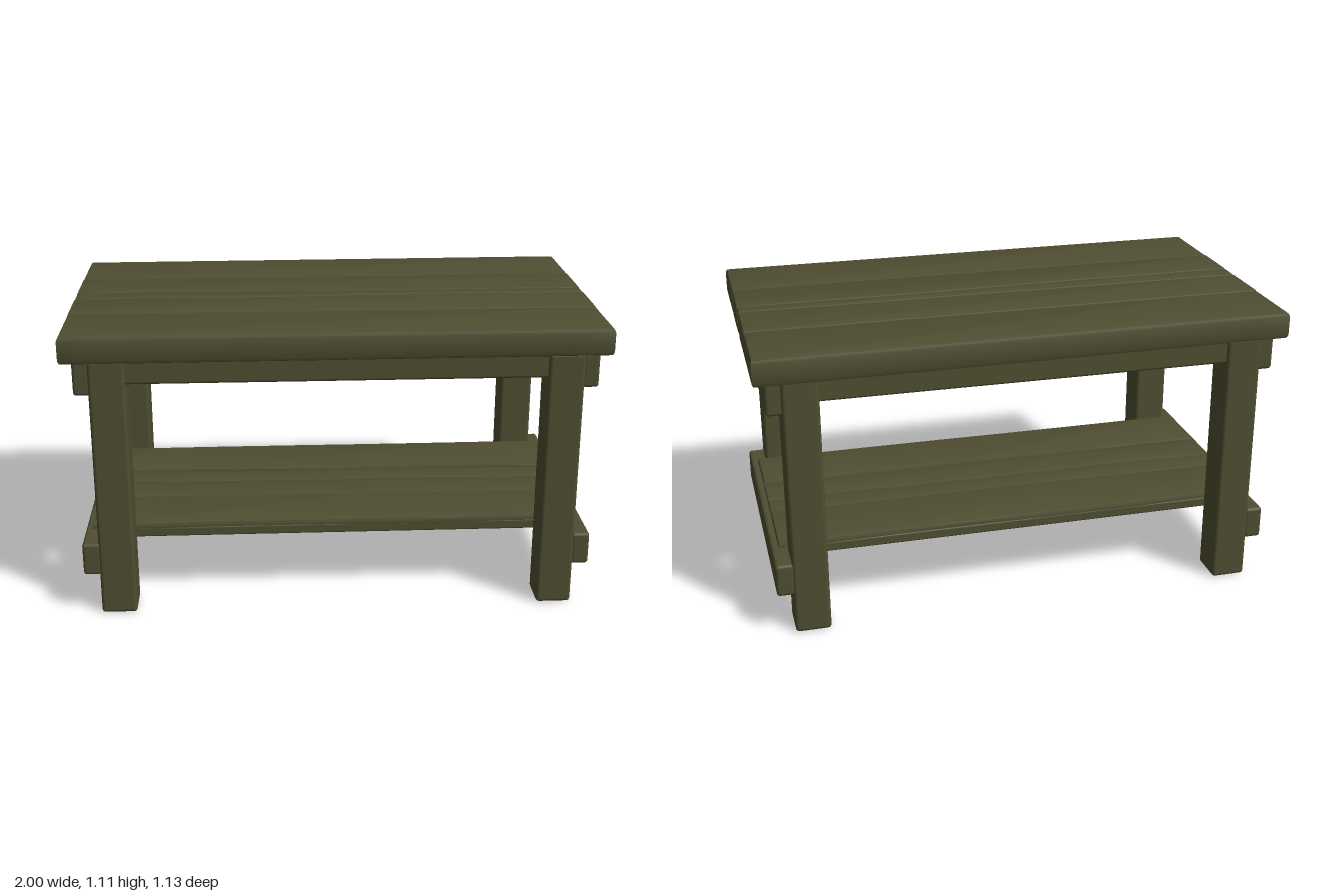
import * as THREE from 'three';
import { toCreasedNormals } from 'three/addons/utils/BufferGeometryUtils.js';
import { RoundedBoxGeometry } from 'three/addons/geometries/RoundedBoxGeometry.js';

export function createModel() {
  const table = new THREE.Group();
  table.name = 'table';
  const wood = new THREE.MeshStandardMaterial({ color: 0x4f4e32 });
  wood.name = 'olive wood';

  function add(name, geometry) {
    const mesh = new THREE.Mesh(geometry, wood);
    mesh.name = name;
    table.add(mesh);
    return mesh;
  }

  // Softly rounded timber given by its limits on each axis
  function beam(name, [x0, x1], [y0, y1], [z0, z1], r = 0.012) {
    const geometry = new RoundedBoxGeometry(x1 - x0, y1 - y0, z1 - z0, 2, r);
    geometry.translate((x0 + x1) / 2, (y0 + y1) / 2, (z0 + z1) / 2);
    return add(name, geometry);
  }

  // Board whose long edges follow back(x) and front(x), with bevelled rims
  function plank(name, halfLength, [y0, y1], back, front, bevel = 0.01) {
    const points = [];
    const steps = 14, half = halfLength - bevel;
    for (let i = 0; i <= steps; i++) {
      const x = -half + (2 * half * i) / steps;
      points.push(new THREE.Vector2(x, -front(x) + bevel));
    }
    for (let i = steps; i >= 0; i--) {
      const x = -half + (2 * half * i) / steps;
      points.push(new THREE.Vector2(x, -back(x) - bevel));
    }
    const geometry = new THREE.ExtrudeGeometry(new THREE.Shape(points), {
      depth: y1 - y0 - 2 * bevel, bevelEnabled: true,
      bevelSize: bevel, bevelThickness: bevel, bevelSegments: 2,
    });
    geometry.rotateX(-Math.PI / 2);
    geometry.translate(0, y0 + bevel, 0);
    return add(name, toCreasedNormals(geometry, 0.7));
  }

  const straight = (z) => () => z;
  const wavy = (z, slope, size, phase) => (x) =>
    z + slope * x + size * Math.sin(5 * x + phase) + 0.3 * size * Math.sin(17 * x + phase);

  // Tabletop: two wide outer boards, a split middle board and a core below the cracks
  const topY = [1.0, 1.105];
  plank('backTopBoard', 1, topY, (x) => -0.56 - 0.006 * x, straight(-0.26), 0.016);
  plank('frontTopBoard', 1, topY, straight(0.255), (x) => 0.559 - 0.003 * x, 0.016);
  const midY = [0.995, 1.105];
  plank('middleBackBoard', 0.998, midY, straight(-0.257), wavy(-0.04, 0.008, 0.002, 1), 0.008);
  plank('middleSplinter', 0.996, midY, wavy(-0.032, 0.008, 0.002, 1), wavy(0.037, -0.01, 0.004, 3), 0.008);
  plank('middleFrontBoard', 0.998, midY, wavy(0.045, -0.01, 0.004, 3), straight(0.251), 0.008);
  beam('topCore', [-0.993, 0.993], [1.015, 1.085], [-0.5, 0.5]);

  // Legs, with end rails and long aprons joining them
  for (const sx of [-1, 1]) {
    const span = (a, b) => (sx > 0 ? [a, b] : [-b, -a]);
    for (const sz of [-1, 1]) {
      const depth = sz > 0 ? [0.4, 0.543] : [-0.538, -0.395];
      beam('leg', span(0.768, 0.902), [0, 1.01], depth, 0.014);
    }
    beam('upperEndRail', span(0.895, 0.958), [0.873, 1.005], [-0.522, 0.53]);
    beam('lowerEndRail', span(0.895, 0.963), [0.16, 0.287], [-0.535, 0.538]);
  }
  beam('frontApron', [-0.9, 0.9], [0.913, 1.01], [0.45, 0.528], 0.01);
  beam('backApron', [-0.9, 0.9], [0.913, 1.01], [-0.523, -0.445], 0.01);

  // Shelf: one flat base with uneven boards on top
  beam('shelfBase', [-0.91, 0.91], [0.25, 0.288], [-0.395, 0.4], 0.006);
  const shelf = [
    ['shelfBackBoard', 0.308, wavy(-0.393, 0, 0.001, 0), wavy(-0.128, 0.012, 0.004, 2)],
    ['shelfBackSlat', 0.302, wavy(-0.118, 0.012, 0.004, 2), wavy(-0.014, 0.01, 0.004, 4)],
    ['shelfFrontSlat', 0.3, wavy(-0.004, 0.01, 0.004, 4), wavy(0.138, 0.01, 0.003, 1)],
    ['shelfFrontBoard', 0.308, wavy(0.148, 0.01, 0.003, 1), wavy(0.399, 0, 0.001, 0)],
  ];
  for (const [name, height, back, front] of shelf) {
    plank(name, 0.935, [0.268, height], back, front, 0.008);
  }
  return table;
}
